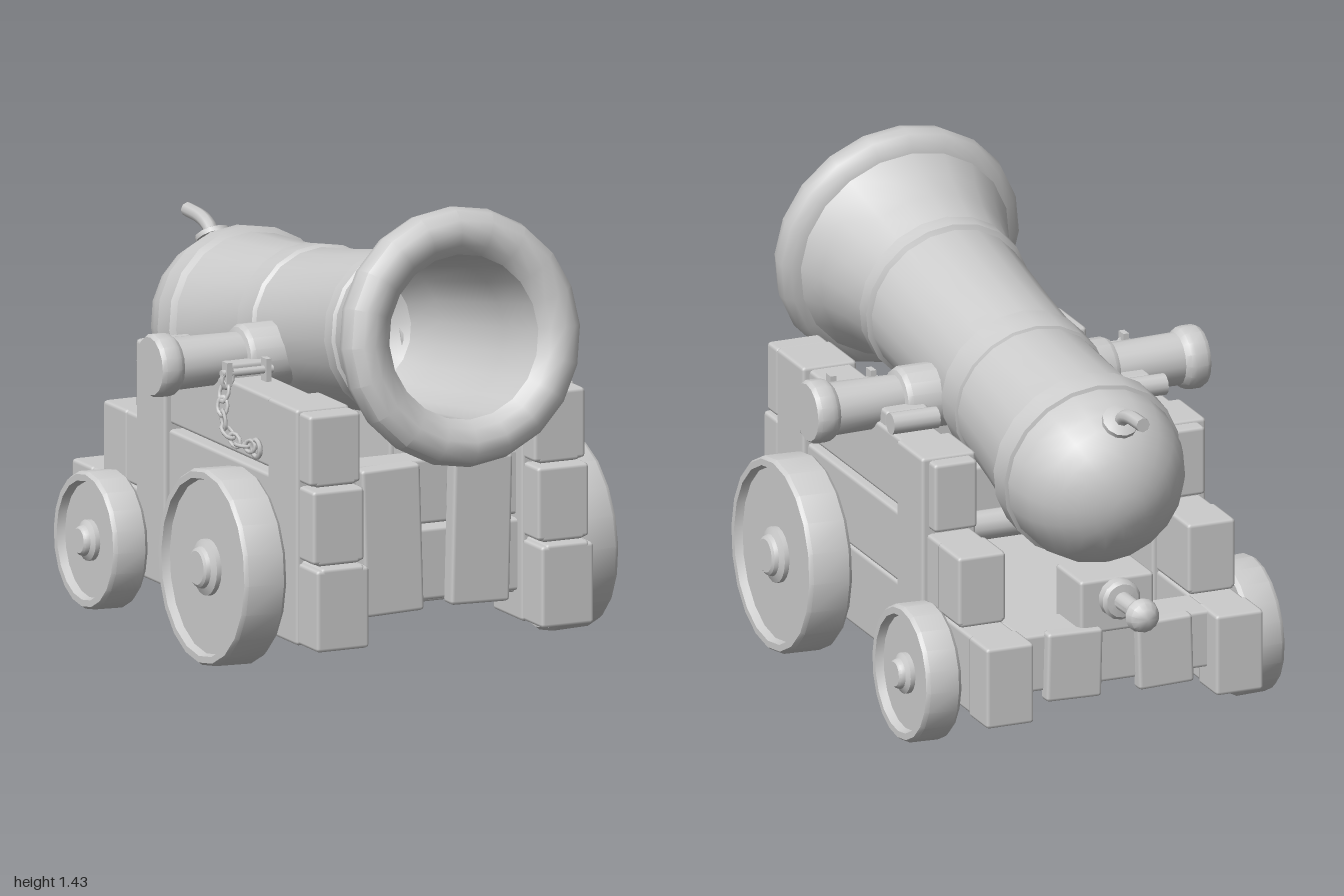
import * as THREE from 'three';
import { toCreasedNormals } from 'three/addons/utils/BufferGeometryUtils.js';
import { RoundedBoxGeometry } from 'three/addons/geometries/RoundedBoxGeometry.js';

const grey = new THREE.MeshStandardMaterial({ color: 0xcccccc, side: THREE.DoubleSide });

function add(parent, name, geometry, x = 0, y = 0, z = 0) {
  const mesh = new THREE.Mesh(geometry, grey);
  mesh.name = name;
  mesh.position.set(x, y, z);
  parent.add(mesh);
  return mesh;
}

// Turned part from [radius, height] pairs, keeping the sharp steps sharp
function turned(points, sides = 20) {
  const profile = points.map(([r, h]) => new THREE.Vector2(r, h));
  return toCreasedNormals(new THREE.LatheGeometry(profile, sides), 0.6);
}

// Bevelled timber given by its extents on each axis
function timber(parent, name, [x0, x1], [y0, y1], [z0, z1]) {
  const geometry = new RoundedBoxGeometry(Math.abs(x1 - x0), y1 - y0, z1 - z0, 1, 0.012);
  return add(parent, name, geometry, (x0 + x1) / 2, (y0 + y1) / 2, (z0 + z1) / 2);
}

function makeBarrel() {
  const barrel = new THREE.Group();
  barrel.name = 'barrel';
  const profile = [];
  // Domed breech
  for (let i = 0; i <= 8; i++) {
    const a = (i / 8) * Math.PI / 2;
    profile.push([0.275 * Math.sin(a), -0.595 - 0.275 * Math.cos(a)]);
  }
  profile.push(
    [0.286, -0.59], [0.286, -0.51], [0.268, -0.5],           // breech band
    [0.25, -0.3], [0.24, -0.135], [0.248, -0.13], [0.248, -0.03], [0.238, -0.02], // middle band
    [0.24, 0.2], [0.25, 0.49], [0.264, 0.5], [0.264, 0.55], [0.256, 0.56],        // neck band
    [0.278, 0.66], [0.305, 0.75], [0.338, 0.82],             // flare
    [0.365, 0.83], [0.385, 0.855], [0.39, 0.885], [0.378, 0.925], [0.35, 0.95],   // rolled lip
    [0.315, 0.955], [0.275, 0.94], [0.247, 0.91],
    [0.235, 0.7], [0.22, 0.3], [0.18, 0.18], [0.1, 0.12], [0, 0.1],               // bore
  );
  const body = add(barrel, 'barrelBody', turned(profile));
  body.rotation.x = Math.PI / 2;
  barrel.position.y = 0.905;
  barrel.rotation.x = -0.166;
  return barrel;
}

function makeFuse() {
  const fuse = new THREE.Group();
  fuse.name = 'fuse';
  const collar = add(fuse, 'fuseCollar', turned(
    [[0, -0.03], [0.035, -0.03], [0.038, 0], [0.055, 0.005], [0.055, 0.02], [0.03, 0.03], [0, 0.03]], 12), 0, 1.015, -0.78);
  collar.rotation.x = -0.65;
  const path = new THREE.CatmullRomCurve3([[1.01, -0.78], [1.045, -0.81], [1.064, -0.86], [1.07, -0.96]]
    .map(([y, z]) => new THREE.Vector3(0, y, z)));
  add(fuse, 'fuseCord', new THREE.TubeGeometry(path, 8, 0.022, 8));
  const cap = add(fuse, 'fuseEnd', new THREE.CircleGeometry(0.022, 8), 0, 1.07, -0.96);
  cap.rotation.y = Math.PI;
  return fuse;
}

function makeWheel(name, side, radius, width, hub) {
  const geometry = turned([
    [0, -width / 2], [radius - 0.01, -width / 2], [radius, -width / 2 + 0.012],
    [radius, width / 2 - 0.012], [radius - 0.008, width / 2], [radius - 0.028, width / 2],
    [radius - 0.034, width / 2 - 0.025], [hub, width / 2 - 0.025], [hub, width / 2 - 0.01],
    [hub * 0.75, width / 2], [hub * 0.7, width / 2 + 0.012], [hub * 0.6, width / 2 + 0.018], [0, width / 2 + 0.018],
  ]);
  const wheel = new THREE.Mesh(geometry, grey);
  wheel.name = name;
  wheel.rotation.z = -side * (Math.PI / 2 - 0.03);
  return wheel;
}

// Safety chain hanging from a pin on top of the cheek
function makeChain(side) {
  const chain = new THREE.Group();
  chain.name = 'chain';
  const pin = add(chain, 'chainPin', new THREE.CylinderGeometry(0.012, 0.012, 0.17, 8), side * 0.41, 0.865, 0.27);
  pin.rotation.z = Math.PI / 2;
  for (const x of [0.345, 0.475]) add(chain, 'pinStaple', new THREE.BoxGeometry(0.018, 0.07, 0.035), side * x, 0.865, 0.27);
  const path = new THREE.CatmullRomCurve3([[0.47, 0.87, 0.275], [0.495, 0.78, 0.28], [0.5, 0.71, 0.31], [0.49, 0.675, 0.38], [0.48, 0.68, 0.46]]
    .map(([x, y, z]) => new THREE.Vector3(side * x, y, z)));
  const count = 8;
  for (let i = 0; i < count; i++) {
    const t = (i + 0.5) / count;
    const geometry = new THREE.TorusGeometry(0.018, 0.006, 6, 10);
    geometry.scale(1, 1.5, 1);
    geometry.rotateY(i % 2 ? Math.PI / 2 : 0);
    const link = add(chain, 'chainLink', geometry);
    link.position.copy(path.getPointAt(t));
    link.quaternion.setFromUnitVectors(new THREE.Vector3(0, 1, 0), path.getTangentAt(t));
  }
  const ring = add(chain, 'chainRing', new THREE.TorusGeometry(0.026, 0.008, 6, 12), side * 0.475, 0.675, 0.465);
  ring.rotation.y = Math.PI / 2;
  return chain;
}

function makeSide(side) {
  const group = new THREE.Group();
  group.name = side > 0 ? 'leftSide' : 'rightSide';
  const xs = (a, b) => [side * a, side * b];

  // Stepped cheek: three stacked timbers clasped by two posts
  timber(group, 'lowerCheek', xs(0.3, 0.445), [0.135, 0.38], [-0.83, 0.845]);
  timber(group, 'middleCheek', xs(0.3, 0.445), [0.38, 0.6], [-0.62, 0.815]);
  timber(group, 'upperCheek', xs(0.3, 0.44), [0.615, 0.83], [-0.42, 0.79]);
  timber(group, 'frontPost', xs(0.285, 0.462), [0.12, 0.84], [0.51, 0.71]);
  timber(group, 'rearPost', xs(0.285, 0.462), [0.12, 0.84], [-0.375, -0.18]);

  // Raised end blocks on the steps
  timber(group, 'frontBlock', xs(0.285, 0.46), [0.125, 0.375], [0.71, 0.845]);
  timber(group, 'frontBlock', xs(0.287, 0.458), [0.385, 0.61], [0.71, 0.815]);
  timber(group, 'frontBlock', xs(0.287, 0.458), [0.62, 0.835], [0.71, 0.79]);
  timber(group, 'rearBlock', xs(0.295, 0.45), [0.13, 0.383], [-0.83, -0.69]);
  timber(group, 'rearBlock', xs(0.295, 0.45), [0.385, 0.603], [-0.62, -0.46]);

  // Trunnion and its locking pin
  const trunnion = add(group, 'trunnion', turned([
    [0, 0.15], [0.098, 0.15], [0.098, 0.33], [0.09, 0.345], [0.076, 0.35], [0.08, 0.56],
    [0.093, 0.575], [0.096, 0.59], [0.096, 0.625], [0.088, 0.638], [0, 0.638]], 16), 0, 0.865, 0.08);
  trunnion.rotation.z = -side * Math.PI / 2;
  timber(group, 'trunnionSaddle', xs(0.29, 0.43), [0.8, 0.875], [-0.04, 0.2]);
  const pin = add(group, 'lockingPin', new THREE.CylinderGeometry(0.033, 0.033, 0.15, 12), side * 0.37, 0.86, -0.1);
  pin.rotation.z = Math.PI / 2;
  group.add(makeChain(side));

  // Wheels with a slight camber
  const front = makeWheel('frontWheel', side, 0.297, 0.14, 0.085);
  front.position.set(side * 0.55, 0.31, 0.39);
  const rear = makeWheel('rearWheel', side, 0.208, 0.115, 0.062);
  rear.position.set(side * 0.524, 0.213, -0.48);
  group.add(front, rear);
  return group;
}

function makeBed() {
  const bed = new THREE.Group();
  bed.name = 'bed';
  timber(bed, 'floor', [-0.31, 0.31], [0.2, 0.26], [-0.68, 0.66]);
  timber(bed, 'frontCrossbeam', [-0.31, 0.31], [0.21, 0.43], [0.56, 0.68]);
  timber(bed, 'frontCrossbeam', [-0.31, 0.31], [0.44, 0.64], [0.56, 0.67]);
  timber(bed, 'rearCrossbeam', [-0.31, 0.31], [0.2, 0.38], [-0.76, -0.6]);
  timber(bed, 'knobBlock', [-0.12, 0.12], [0.36, 0.53], [-0.77, -0.58]);

  // Uneven upright planks at both ends
  for (const [x, y, tilt] of [[-0.15, 0.415, 0.03], [0.145, 0.42, -0.025]]) {
    const plank = timber(bed, 'frontPlank', [x - 0.098, x + 0.098], [y - 0.225, y + 0.225], [0.67, 0.73]);
    plank.rotation.z = tilt;
    const back = timber(bed, 'rearPlank', [x - 0.09, x + 0.09], [0.17, 0.385], [-0.79, -0.74]);
    back.rotation.z = -tilt;
  }

  // Axles
  for (const [y, z, half] of [[0.31, 0.39, 0.54], [0.213, -0.48, 0.52]]) {
    const axle = add(bed, 'axle', new THREE.CylinderGeometry(0.045, 0.045, half * 2, 12), 0, y, z);
    axle.rotation.z = Math.PI / 2;
  }

  // Rear pull knob
  const knob = add(bed, 'rearKnob', turned([
    [0, 0], [0.062, 0], [0.062, 0.03], [0.052, 0.04], [0.029, 0.043], [0.027, 0.15], [0.045, 0.16],
    [0.053, 0.18], [0.046, 0.205], [0.03, 0.222], [0, 0.23]], 14), 0, 0.468, -0.77);
  knob.rotation.x = -Math.PI / 2;
  return bed;
}

export function createModel() {
  const model = new THREE.Group();
  model.name = 'cannon';
  model.add(makeBarrel(), makeFuse(), makeBed(), makeSide(1), makeSide(-1));
  return model;
}
